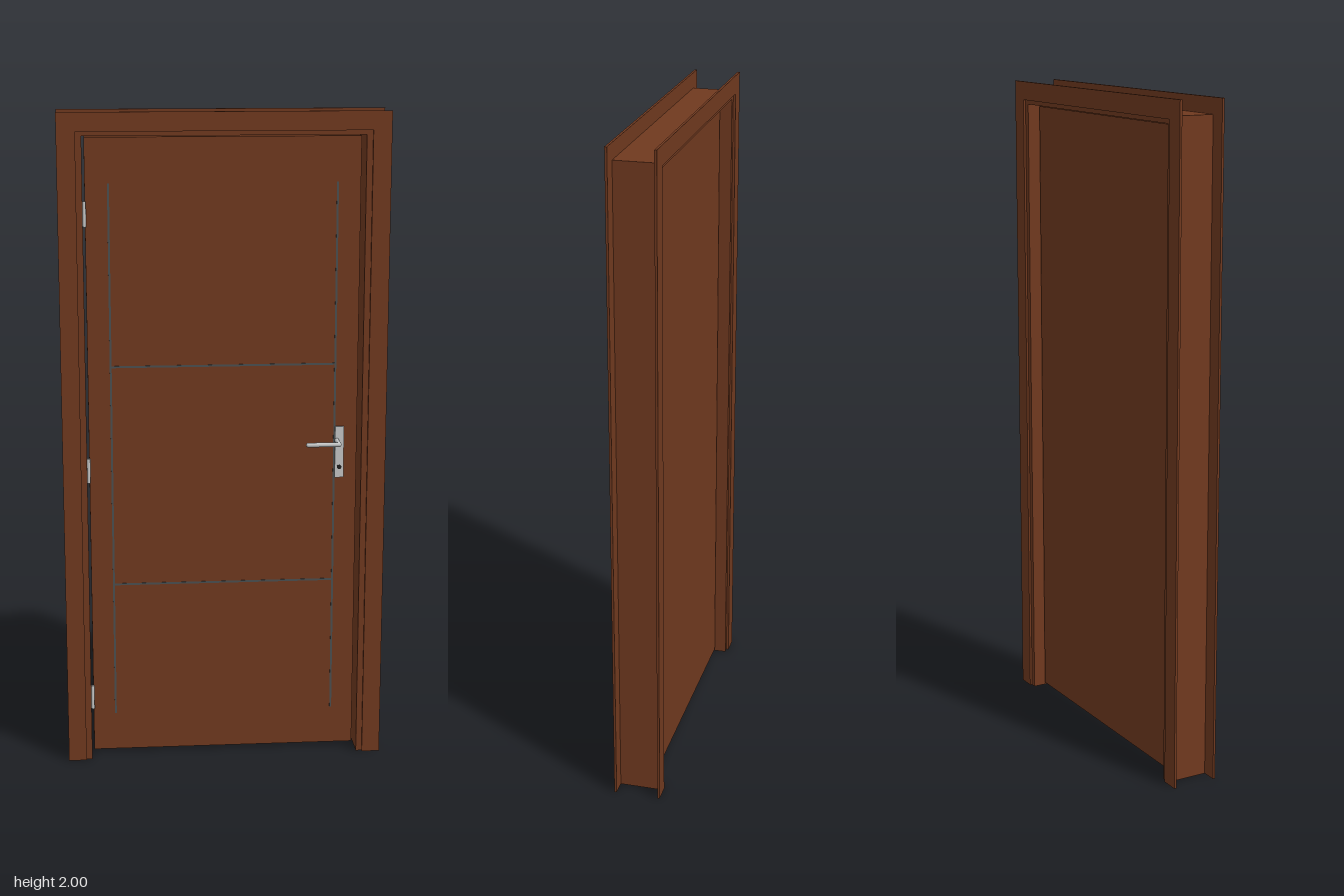
import * as THREE from 'three';

const material = (name, color) => {
  const m = new THREE.MeshStandardMaterial({ color });
  m.name = name;
  return m;
};

export function createModel() {
  const wood = material('brown wood', 0x70391f);
  const inlay = material('dark grey inlay', 0x4a4f50);
  const metal = material('brushed metal', 0xc4c6c6);
  const dark = material('keyhole black', 0x202020);

  const model = new THREE.Group();
  model.name = 'door';

  const add = (name, geometry, mat, x, y, z) => {
    const mesh = new THREE.Mesh(geometry, mat);
    mesh.name = name;
    mesh.position.set(x, y, z);
    model.add(mesh);
    return mesh;
  };
  // Box given by its limits on each axis
  const block = (name, mat, [x0, x1], [y0, y1], [z0, z1]) =>
    add(name, new THREE.BoxGeometry(x1 - x0, y1 - y0, z1 - z0), mat,
      (x0 + x1) / 2, (y0 + y1) / 2, (z0 + z1) / 2);

  // Upside-down U, extruded along z
  const portal = (name, outerX, outerY, innerX, innerY, z0, z1) => {
    const shape = new THREE.Shape([
      [-outerX, 0], [-innerX, 0], [-innerX, innerY], [innerX, innerY],
      [innerX, 0], [outerX, 0], [outerX, outerY], [-outerX, outerY],
    ].map(([x, y]) => new THREE.Vector2(x, y)));
    const geometry = new THREE.ExtrudeGeometry(shape, { depth: z1 - z0, bevelEnabled: false });
    add(name, geometry, wood, 0, 0, z0);
  };

  // Frame: jamb lining with a thin casing on each side of the wall
  portal('jamb', 0.443, 1.953, 0.416, 1.931, -0.068, 0.06);
  portal('frontCasing', 0.489, 2, 0.434, 1.944, 0.06, 0.067);
  portal('backCasing', 0.489, 2, 0.434, 1.944, -0.075, -0.068);

  // Door leaf, set back in the frame with a small gap around it
  const face = 0.006;
  block('doorLeaf', wood, [-0.409, 0.409], [0.01, 1.924], [-0.032, face]);

  // Inlaid strips
  const strip = [face - 0.002, face + 0.001];
  for (const x of [-0.34, 0.34])
    block('verticalInlay', inlay, [x - 0.003, x + 0.003], [0.13, 1.79], strip);
  for (const y of [0.555, 1.24])
    block('horizontalInlay', inlay, [-0.337, 0.337], [y - 0.003, y + 0.003], strip);

  // Hinges
  for (const y of [0.187, 0.92, 1.7])
    add('hinge', new THREE.CylinderGeometry(0.005, 0.005, 0.076, 12), metal, -0.411, y, face + 0.003);

  // Handle: back plate, neck, lever and keyhole
  block('handlePlate', metal, [0.342, 0.369], [0.885, 1.045], [face, face + 0.007]);
  const neck = add('handleNeck', new THREE.CylinderGeometry(0.007, 0.007, 0.056, 16), metal, 0.347, 1.002, 0.038);
  neck.rotation.x = Math.PI / 2;
  const lever = add('handleLever', new THREE.CapsuleGeometry(0.007, 0.094, 6, 16), metal, 0.3, 1.002, 0.066);
  lever.rotation.z = Math.PI / 2;
  const keyhole = add('keyhole', new THREE.CylinderGeometry(0.007, 0.007, 0.003, 16), dark, 0.3555, 0.918, face + 0.007);
  keyhole.rotation.x = Math.PI / 2;

  return model;
}
